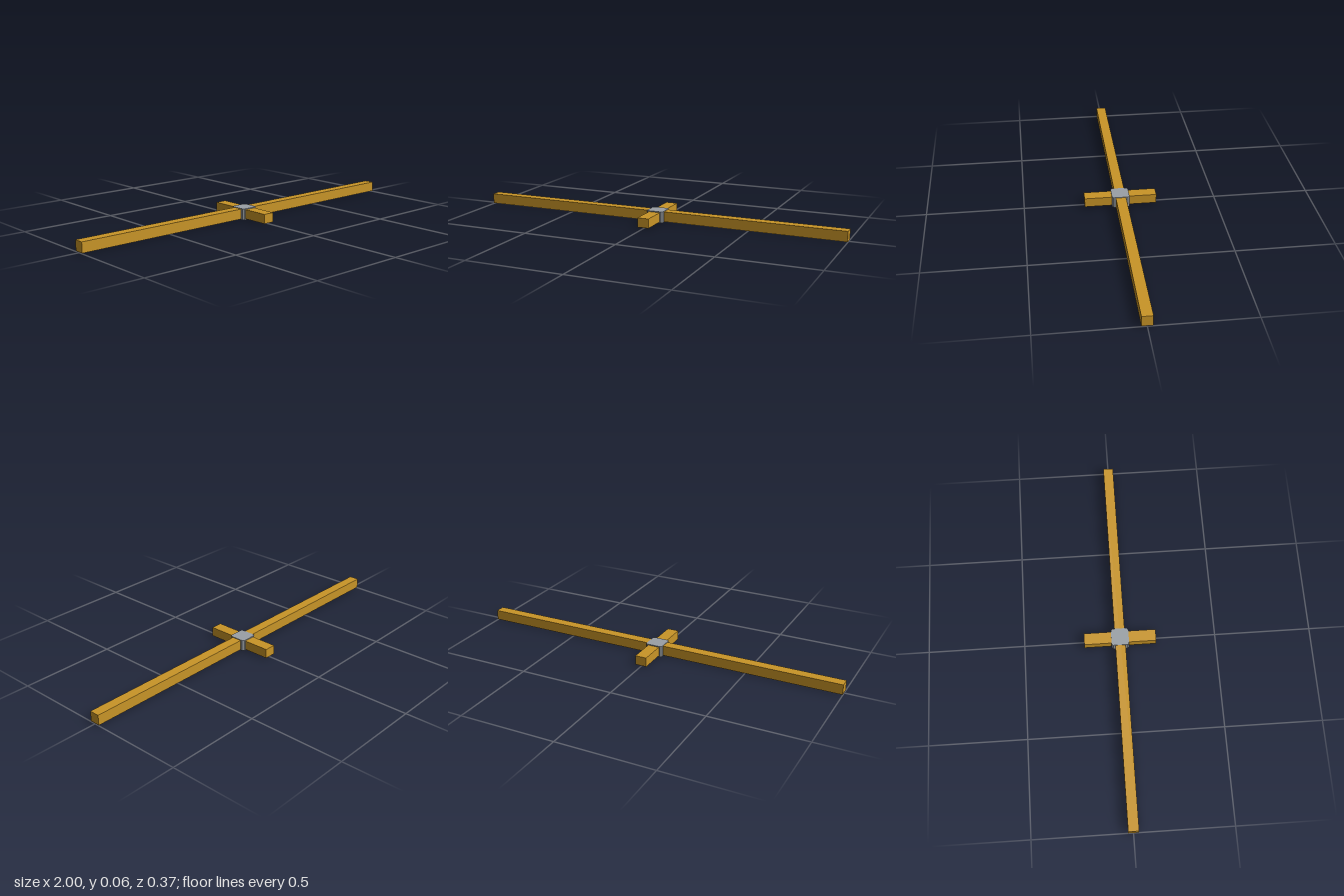
import * as THREE from 'three';

const wood = new THREE.MeshStandardMaterial({ color: 0xc99527, flatShading: true });
const metal = new THREE.MeshStandardMaterial({ color: 0x9aa0a6, flatShading: true });

const CENTER_Y = 0.0295;

function addBar(group, name, width, height, depth) {
  const bar = new THREE.Mesh(new THREE.BoxGeometry(width, height, depth), wood);
  bar.name = name;
  bar.position.y = CENTER_Y;
  group.add(bar);
}

// Square block with small chamfers on its four upright edges
function hubGeometry(half, chamfer, height) {
  const c = half - chamfer;
  const outline = [
    [half, -c], [half, c], [c, half], [-c, half],
    [-half, c], [-half, -c], [-c, -half], [c, -half],
  ].map(([x, y]) => new THREE.Vector2(x, y));
  const geometry = new THREE.ExtrudeGeometry(new THREE.Shape(outline), {
    depth: height, bevelEnabled: false,
  });
  return geometry.rotateX(-Math.PI / 2);
}

export function createModel() {
  const model = new THREE.Group();
  model.name = 'crossedBars';

  // Long beam and the short, slightly wider and flatter crosspiece
  addBar(model, 'longBeam', 2, 0.053, 0.053);
  addBar(model, 'crosspiece', 0.061, 0.049, 0.374);

  // Block clasping the joint
  const hub = new THREE.Mesh(hubGeometry(0.0455, 0.008, 2 * CENTER_Y), metal);
  hub.name = 'centreHub';
  model.add(hub);

  return model;
}
